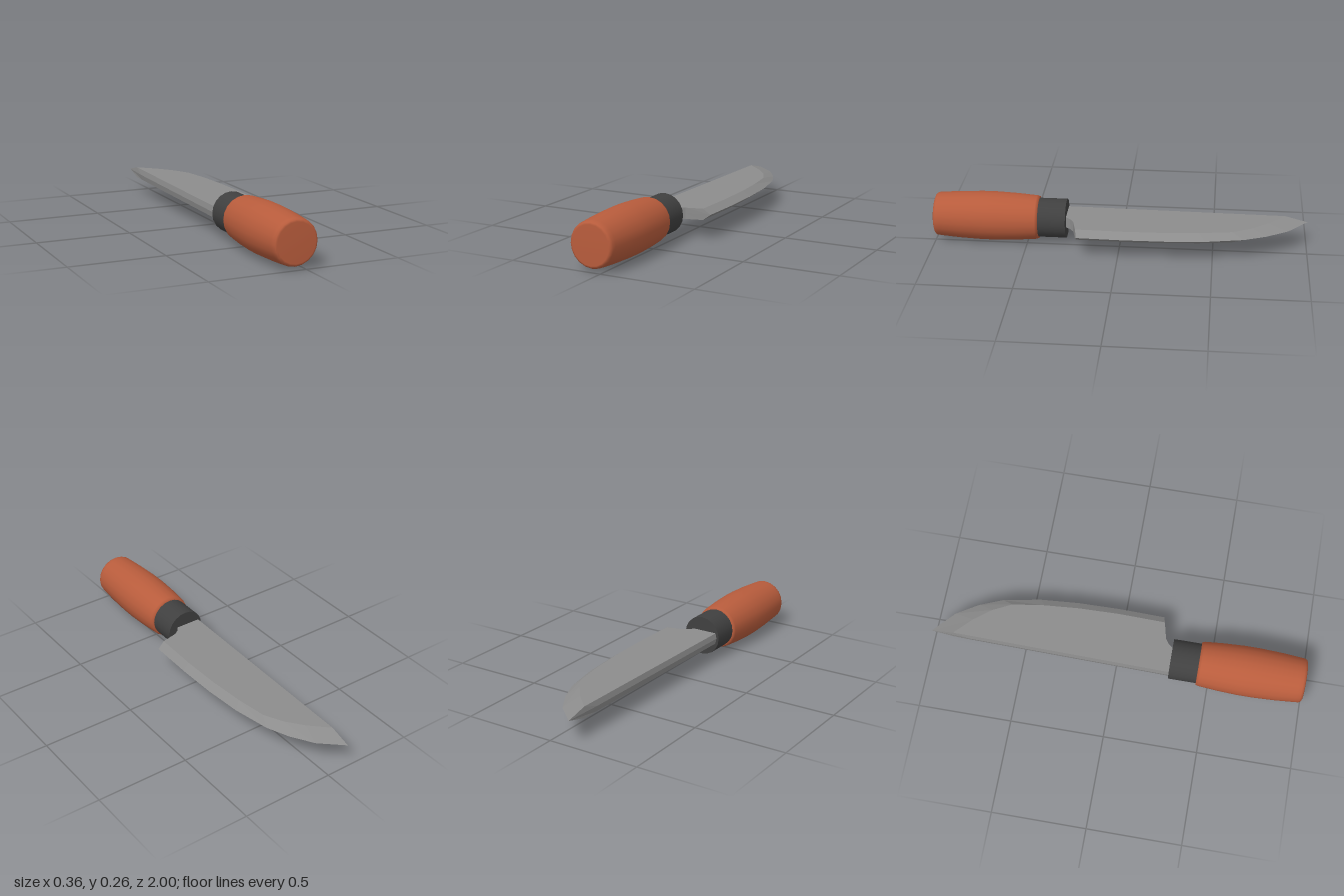
import * as THREE from 'three';

const AXIS_X = -0.052, AXIS_Y = 0.133, SIDES = 20;

function addPart(group, name, geometry, color, flatShading = false) {
  const mesh = new THREE.Mesh(geometry, new THREE.MeshStandardMaterial({ color, flatShading }));
  mesh.name = name;
  group.add(mesh);
  return mesh;
}

// Blade lofted from six-sided sections: ridge, spine, bevel line, cutting edge and back
function bladeGeometry() {
  const half = 0.03;
  // bevel line x, z, then cutting edge x, z
  const stations = [
    [0.0, 0.32, 0.0, 0.32],
    [0.0, 0.285, 0.0, 0.285],
    [0.018, 0.262, 0.018, 0.262],
    [0.045, 0.243, 0.045, 0.243],
    [0.135, 0.222, 0.175, 0.214],
    [0.14, -0.02, 0.18, -0.03],
    [0.135, -0.24, 0.176, -0.25],
    [0.12, -0.43, 0.16, -0.46],
    [0.095, -0.6, 0.122, -0.66],
    [0.045, -0.7, 0.073, -0.78],
    [-0.025, -0.79, 0.002, -0.895],
    [-0.118, -0.88, -0.115, -1.0],
  ];
  const rings = stations.map(([bx, bz, ex, ez], i) => {
    const tip = i === stations.length - 1;
    const sx = tip ? bx : -0.138 + (0.285 - bz) * 0.0172;
    const top = AXIS_Y + half, bottom = AXIS_Y - half;
    return [
      tip ? [ex, AXIS_Y, ez] : [sx - 0.006, AXIS_Y, bz],
      [sx, top, bz], [bx, top, bz],
      [ex, AXIS_Y, ez],
      [bx, bottom, bz], [sx, bottom, bz],
    ];
  });
  const positions = [];
  for (let i = 0; i < rings.length - 1; i++) {
    for (let j = 0; j < 6; j++) {
      const k = (j + 1) % 6;
      const a = rings[i][j], b = rings[i][k], c = rings[i + 1][k], d = rings[i + 1][j];
      positions.push(...a, ...b, ...c, ...a, ...c, ...d);
    }
  }
  const geometry = new THREE.BufferGeometry();
  geometry.setAttribute('position', new THREE.Float32BufferAttribute(positions, 3));
  geometry.computeVertexNormals();
  return geometry;
}

export function createModel() {
  const group = new THREE.Group();
  group.name = 'knife';

  // Barrel-shaped handle with softened ends: radius, z
  const profile = [
    [0, 0.435], [0.1, 0.435], [0.114, 0.437], [0.119, 0.45], [0.127, 0.55],
    [0.132, 0.66], [0.132, 0.74], [0.127, 0.86], [0.119, 0.965],
    [0.117, 0.985], [0.111, 0.996], [0.101, 1], [0, 1],
  ].map(([r, z]) => new THREE.Vector2(r, z));
  const handle = addPart(group, 'handle',
    new THREE.LatheGeometry(profile, SIDES).rotateX(Math.PI / 2), 0xb85c3c);
  handle.position.set(AXIS_X, AXIS_Y, 0);

  // Dark collar between handle and blade
  const collar = addPart(group, 'collar',
    new THREE.CylinderGeometry(0.106, 0.106, 0.16, SIDES).rotateX(Math.PI / 2), 0x404040);
  collar.position.set(AXIS_X, AXIS_Y, 0.367);

  addPart(group, 'blade', bladeGeometry(), 0x8c8c8c, true);
  return group;
}
